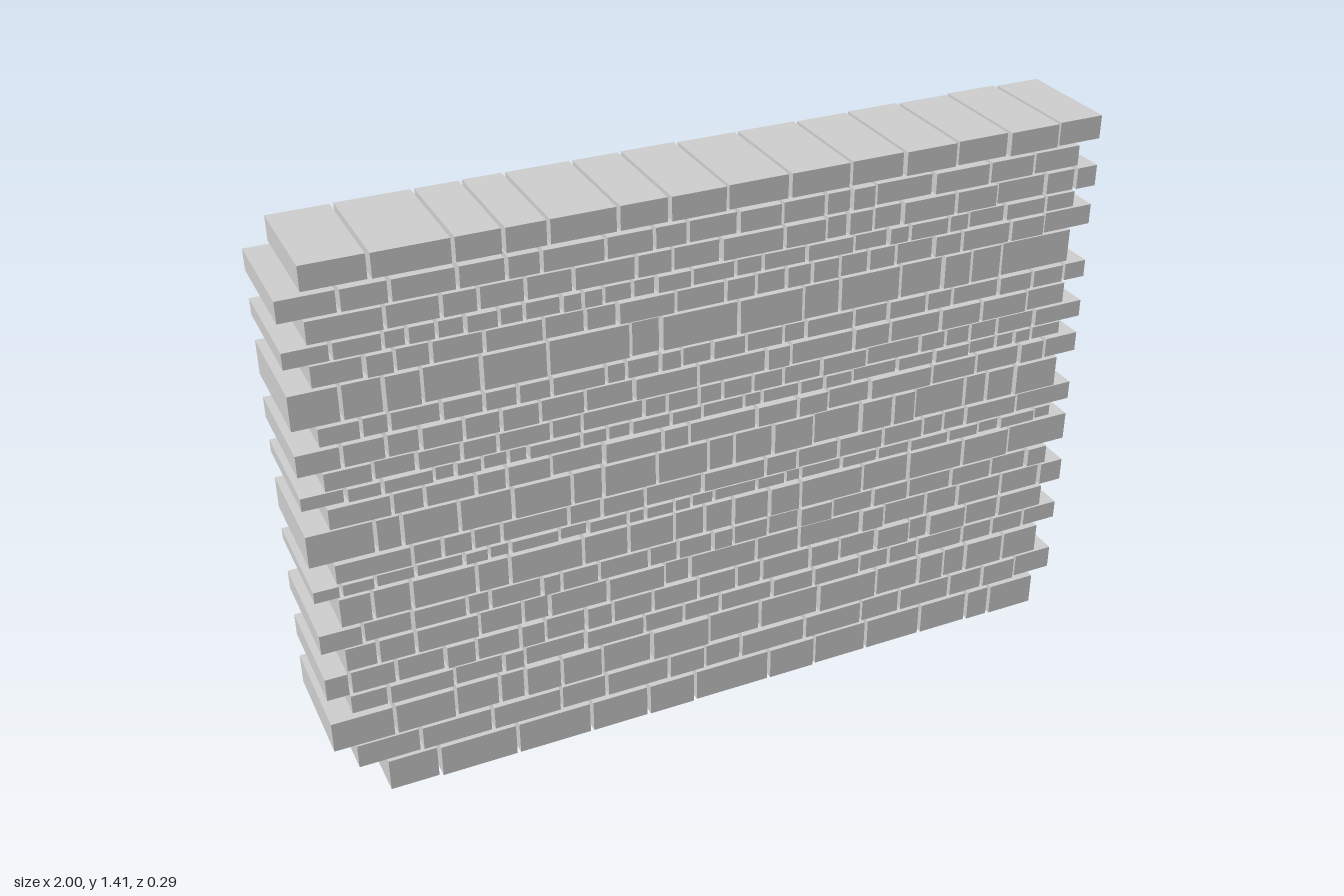
import * as THREE from 'three';

// Courses from the ground up: [bottom, top, number of stones]
const COURSES = [
  [0, 0.086, 12], [0.097, 0.16, 14], [0.17, 0.25, 16], [0.26, 0.309, 17],
  [0.318, 0.377, 20], [0.386, 0.447, 17], [0.453, 0.503, 20], [0.51, 0.585, 16],
  [0.595, 0.624, 24], [0.631, 0.68, 17], [0.687, 0.768, 18], [0.775, 0.826, 17],
  [0.836, 0.868, 24], [0.874, 0.918, 20], [0.924, 0.977, 17], [0.985, 1.029, 22],
  [1.037, 1.121, 15], [1.127, 1.178, 20], [1.184, 1.223, 24], [1.23, 1.283, 18],
  [1.29, 1.341, 17], [1.35, 1.408, 14],
];
// Stone edges of the visible foot and cap courses
const FOOT = [-0.875, -0.75, -0.55, -0.355, -0.2, -0.07, 0.14, 0.275, 0.43, 0.595, 0.74, 0.81, 0.945];
const CAP = [-0.945, -0.8, -0.62, -0.51, -0.41, -0.25, -0.13, 0.01, 0.165, 0.32, 0.46, 0.6, 0.74, 0.88, 1];
const JOINT = 0.009;

function seeded(seed) {
  return () => {
    seed = (seed * 16807) % 2147483647;
    return seed / 2147483647;
  };
}

// Splits a course into stones of uneven length
function splitCourse(x0, x1, count, random) {
  const lengths = Array.from({ length: count }, () => 0.5 + random());
  const total = lengths.reduce((a, b) => a + b, 0);
  const edges = [x0];
  for (const l of lengths) edges.push(edges[edges.length - 1] + (l / total) * (x1 - x0));
  return edges;
}

export function createModel() {
  const wall = new THREE.Group();
  wall.name = 'stoneWall';
  const material = new THREE.MeshStandardMaterial({ color: 0xcccccc, flatShading: true });
  const random = seeded(4711);

  COURSES.forEach(([y0, y1, count], row) => {
    const course = new THREE.Group();
    course.name = `course${row + 1}`;
    // Alternate courses step in at one end, giving toothed wall ends
    const [x0, x1] = row % 2 ? [-0.945, 1] : [-1, 0.945];
    const last = COURSES.length - 1;
    const edges = row === 0 ? FOOT : row === last ? CAP : splitCourse(x0, x1, count, random);

    for (let i = 0; i < edges.length - 1; i++) {
      const left = edges[i] + (i > 0 ? JOINT / 2 : 0);
      const right = edges[i + 1] - (i < edges.length - 2 ? JOINT / 2 : 0);
      // Each stone runs through the wall, with a slightly uneven depth
      const depth = 0.27 + 0.016 * random();
      const stone = new THREE.Mesh(new THREE.BoxGeometry(right - left, y1 - y0, depth), material);
      stone.name = 'stone';
      stone.position.set((left + right) / 2, (y0 + y1) / 2, 0);
      course.add(stone);
    }
    wall.add(course);
  });
  return wall;
}
